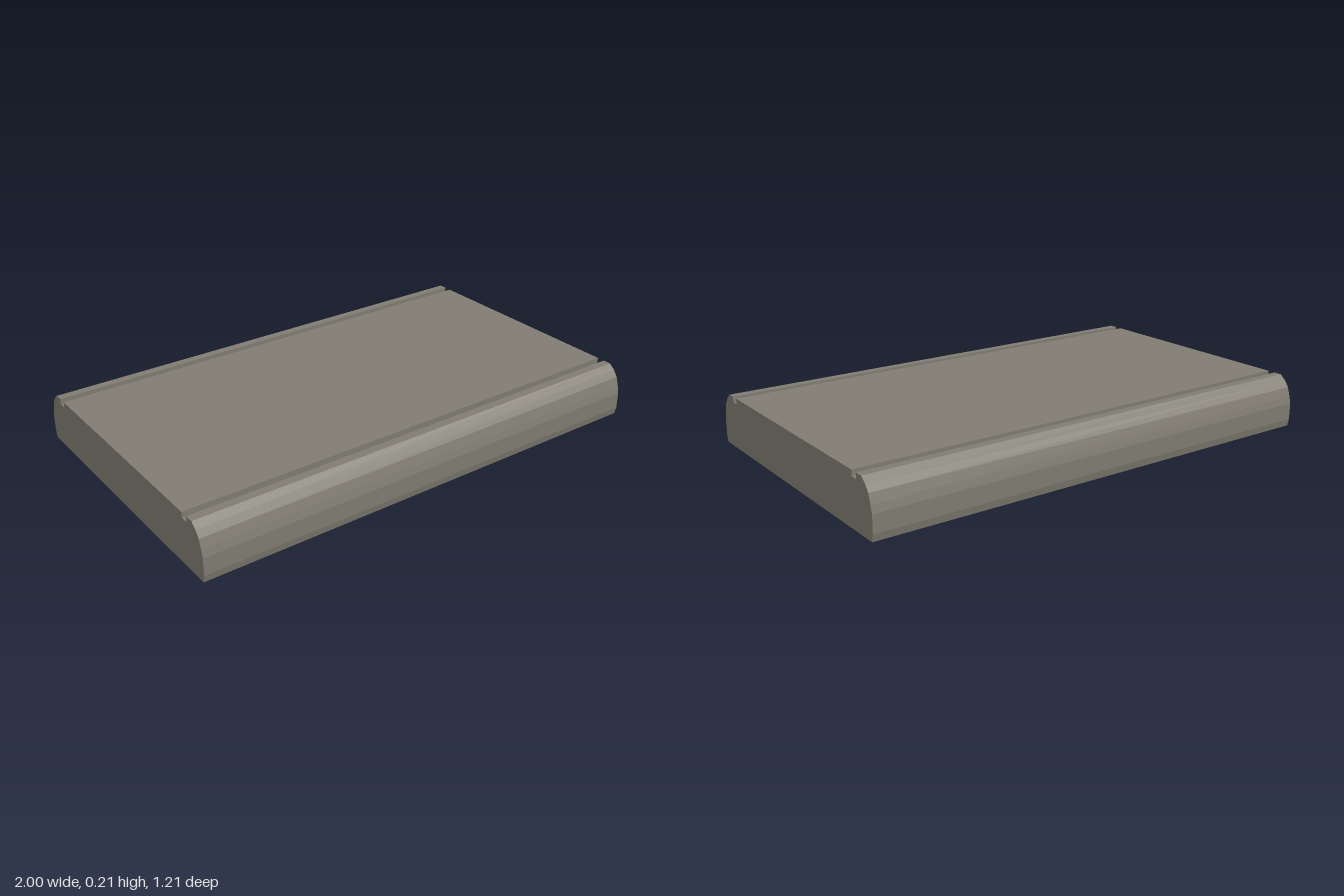
import * as THREE from 'three';

export function createModel() {
  const group = new THREE.Group();
  const stone = new THREE.MeshStandardMaterial({ color: 0x807c72, flatShading: true });
  stone.name = 'warm grey stone';

  // Half of the cross-section, from the bottom edge up the rounded side to the groove
  const half = [
    [0.6, 0], [0.607, 0.03], [0.607, 0.1], [0.6, 0.13], [0.588, 0.167],
    [0.57, 0.192], [0.545, 0.213],
    [0.51, 0.213], [0.51, 0.19], [0.478, 0.19], [0.478, 0.213],
  ];
  const mirrored = half.map(([z, y]) => [-z, y]).reverse();
  const profile = new THREE.Shape([...half, ...mirrored].map(([z, y]) => new THREE.Vector2(z, y)));

  // Slab: the cross-section swept along x
  const geometry = new THREE.ExtrudeGeometry(profile, { depth: 2, bevelEnabled: false });
  geometry.translate(0, 0, -1);
  geometry.rotateY(Math.PI / 2);
  const slab = new THREE.Mesh(geometry, stone);
  slab.name = 'groovedSlab';
  group.add(slab);

  return group;
}
